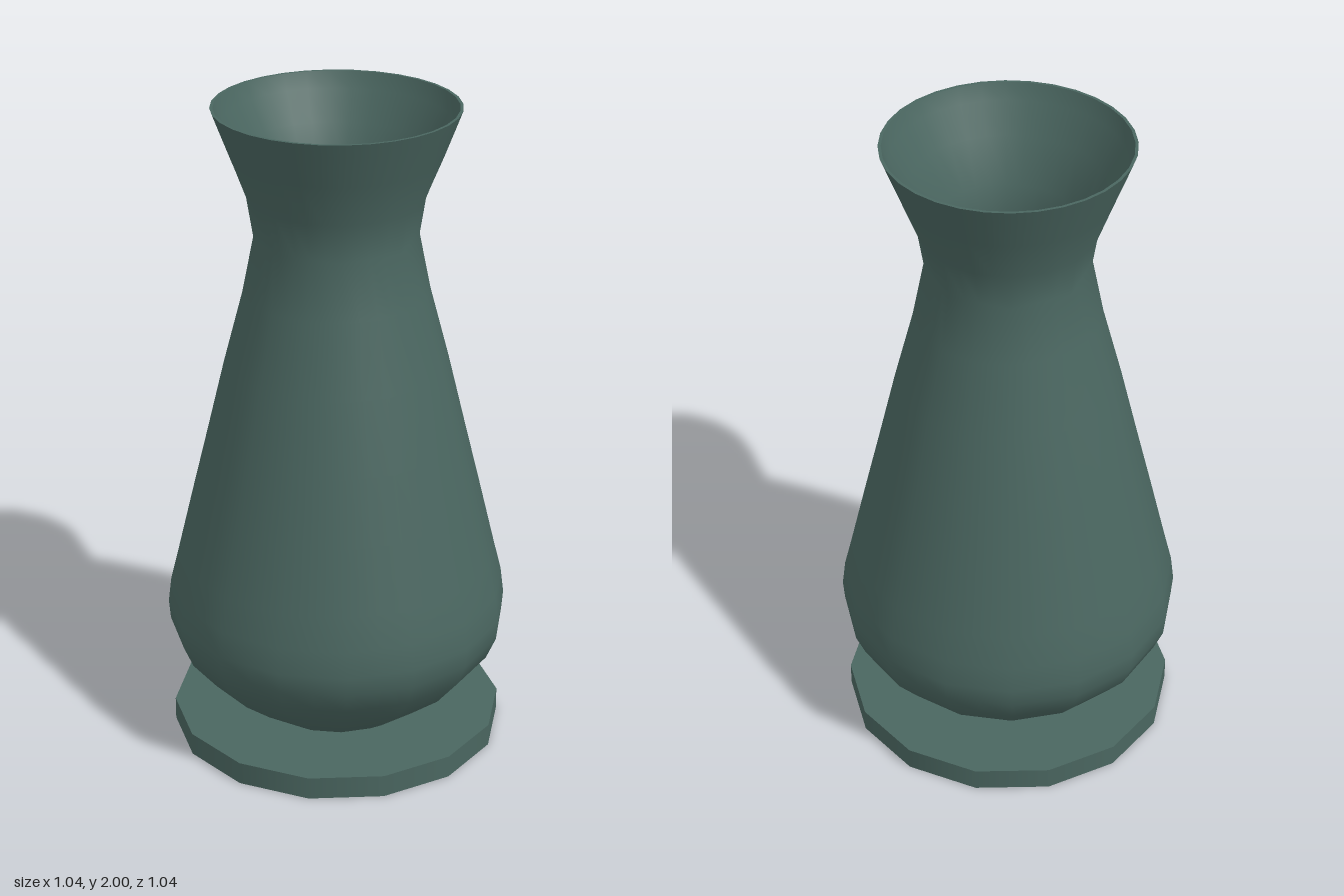
import * as THREE from 'three';

const material = new THREE.MeshStandardMaterial({ color: 0x4a6660 });

// Revolve [radius, y, sides] rings; each ring is cut to a polygon with that many sides.
function facetedLathe(name, rings) {
  const segments = 32;
  const geometry = new THREE.LatheGeometry(rings.map(([r, y]) => new THREE.Vector2(r, y)), segments);
  const position = geometry.attributes.position;
  for (let i = 0; i <= segments; i++) {
    const angle = (i / segments) * Math.PI * 2;
    rings.forEach(([r, y, sides], j) => {
      const half = Math.PI / sides;
      const offset = (angle % (2 * half)) - half;
      const radius = (r * Math.cos(half)) / Math.cos(offset);
      position.setXYZ(i * rings.length + j, Math.sin(angle) * radius, y, Math.cos(angle) * radius);
    });
  }
  const mesh = new THREE.Mesh(geometry, material);
  mesh.name = name;
  return mesh;
}

export function createModel() {
  const group = new THREE.Group();
  group.name = 'vase';

  // Foot: a thin fourteen-sided disc with an edge facing the front left
  const foot = new THREE.Mesh(
    new THREE.CylinderGeometry(0.508, 0.508, 0.07, 14, 1, false, Math.PI / 4 + Math.PI / 14),
    material
  );
  foot.name = 'foot';
  foot.position.y = 0.035;
  group.add(foot);

  // Outer wall: sixteen-sided belly, eight-sided neck, round rim
  group.add(facetedLathe('outerWall', [
    [0.23, 0.065, 16], [0.31, 0.12, 16], [0.41, 0.2, 16], [0.485, 0.29, 16],
    [0.515, 0.36, 16], [0.52, 0.42, 16], [0.51, 0.5, 16], [0.485, 0.6, 16],
    [0.437, 0.8, 16], [0.388, 1.0, 16], [0.335, 1.22, 16], [0.277, 1.44, 16],
    [0.243, 1.61, 8], [0.262, 1.73, 16], [0.31, 1.86, 32], [0.348, 1.96, 32], [0.363, 2, 32],
  ]));

  // Rim lip
  group.add(facetedLathe('rim', [[0.363, 2, 32], [0.354, 2, 32]]));

  // Inner wall, running down from the rim to the floor
  group.add(facetedLathe('innerWall', [
    [0.354, 2, 32], [0.335, 1.95, 32], [0.285, 1.86, 32], [0.228, 1.73, 16],
    [0.208, 1.61, 8], [0.24, 1.44, 16], [0.35, 1.0, 16], [0.45, 0.6, 16],
    [0.485, 0.42, 16], [0.45, 0.3, 16], [0.35, 0.19, 16], [0.155, 0.1, 16],
  ]));

  // Inner floor
  group.add(facetedLathe('innerFloor', [[0.155, 0.1, 16], [0, 0.1, 16]]));

  return group;
}
